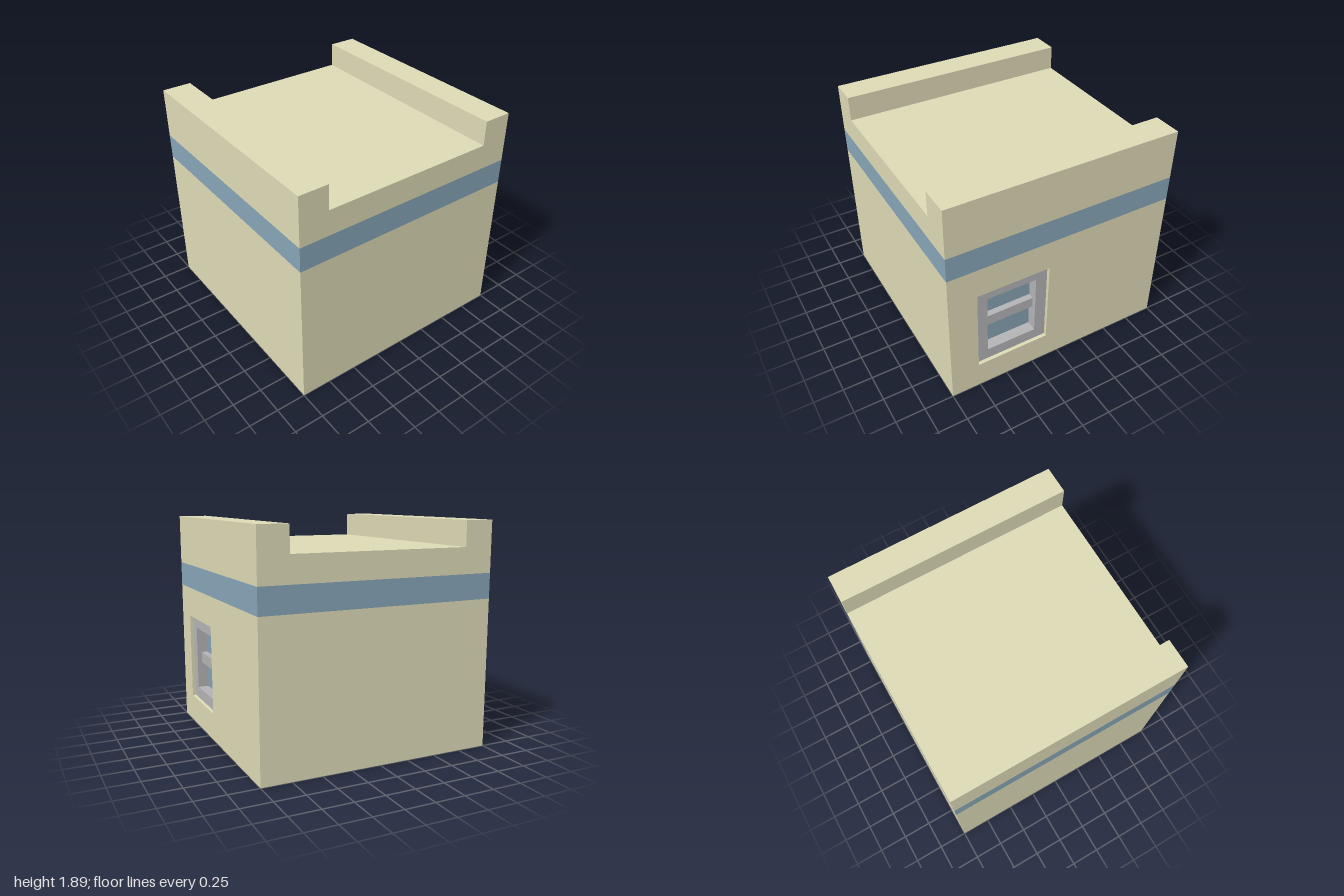
import * as THREE from 'three';

const material = (color) => new THREE.MeshStandardMaterial({ color });
const wallMat = material(0xdddab6);
const bandMat = material(0x87a5b8);
const frameMat = material(0xb4b4b6);
const glassMat = material(0x87a2b2);

// Rectangles are [x0, x1, y0, y1]
const WINDOW = [0.12, 0.757, 0.238, 0.995];
const PANE = [0.22, 0.657, 0.338, 0.895];
const BAR = [0.22, 0.657, 0.57, 0.665];

const outline = (path, [x0, x1, y0, y1]) =>
  path.moveTo(x0, y0).lineTo(x1, y0).lineTo(x1, y1).lineTo(x0, y1).closePath();

function add(group, name, geometry, mat) {
  const mesh = new THREE.Mesh(geometry, mat);
  mesh.name = name;
  group.add(mesh);
  return mesh;
}

function block(group, name, [x0, x1, y0, y1], z0, z1, mat) {
  const mesh = add(group, name, new THREE.BoxGeometry(x1 - x0, y1 - y0, z1 - z0), mat);
  mesh.position.set((x0 + x1) / 2, (y0 + y1) / 2, (z0 + z1) / 2);
}

// Rectangular panel with a rectangular opening
function panel(group, name, rect, hole, z0, z1, mat) {
  const shape = outline(new THREE.Shape(), rect);
  shape.holes.push(outline(new THREE.Path(), hole));
  const geometry = new THREE.ExtrudeGeometry(shape, { depth: z1 - z0, bevelEnabled: false });
  add(group, name, geometry, mat).position.z = z0;
}

export function createModel() {
  const model = new THREE.Group();
  model.name = 'building';

  // Lower walls, with the window opening cut through the back layer
  block(model, 'lowerWalls', [-1, 1, 0, 1.255], -0.87, 1, wallMat);
  panel(model, 'backWall', [-1, 1, 0, 1.255], WINDOW, -1, -0.87, wallMat);

  // Painted band, flush with the walls
  block(model, 'band', [-1, 1, 1.255, 1.465], -1, 1, bandMat);

  // Upper walls, roof and the two parapets as one profile run along x
  const profile = new THREE.Shape([
    [-1, 1.465], [1, 1.465], [1, 1.89], [0.753, 1.89],
    [0.753, 1.68], [-0.753, 1.68], [-0.753, 1.89], [-1, 1.89],
  ].map(([z, y]) => new THREE.Vector2(z, y)));
  const roof = new THREE.ExtrudeGeometry(profile, { depth: 2, bevelEnabled: false });
  roof.translate(0, 0, -1).rotateY(-Math.PI / 2);
  add(model, 'roofAndParapets', roof, wallMat);

  // Recessed back window
  const win = new THREE.Group();
  win.name = 'window';
  panel(win, 'windowFrame', WINDOW, PANE, -0.97, -0.87, frameMat);
  block(win, 'windowGlass', PANE, -0.878, -0.87, glassMat);
  block(win, 'windowCrossbar', BAR, -0.93, -0.878, frameMat);
  model.add(win);

  return model;
}
